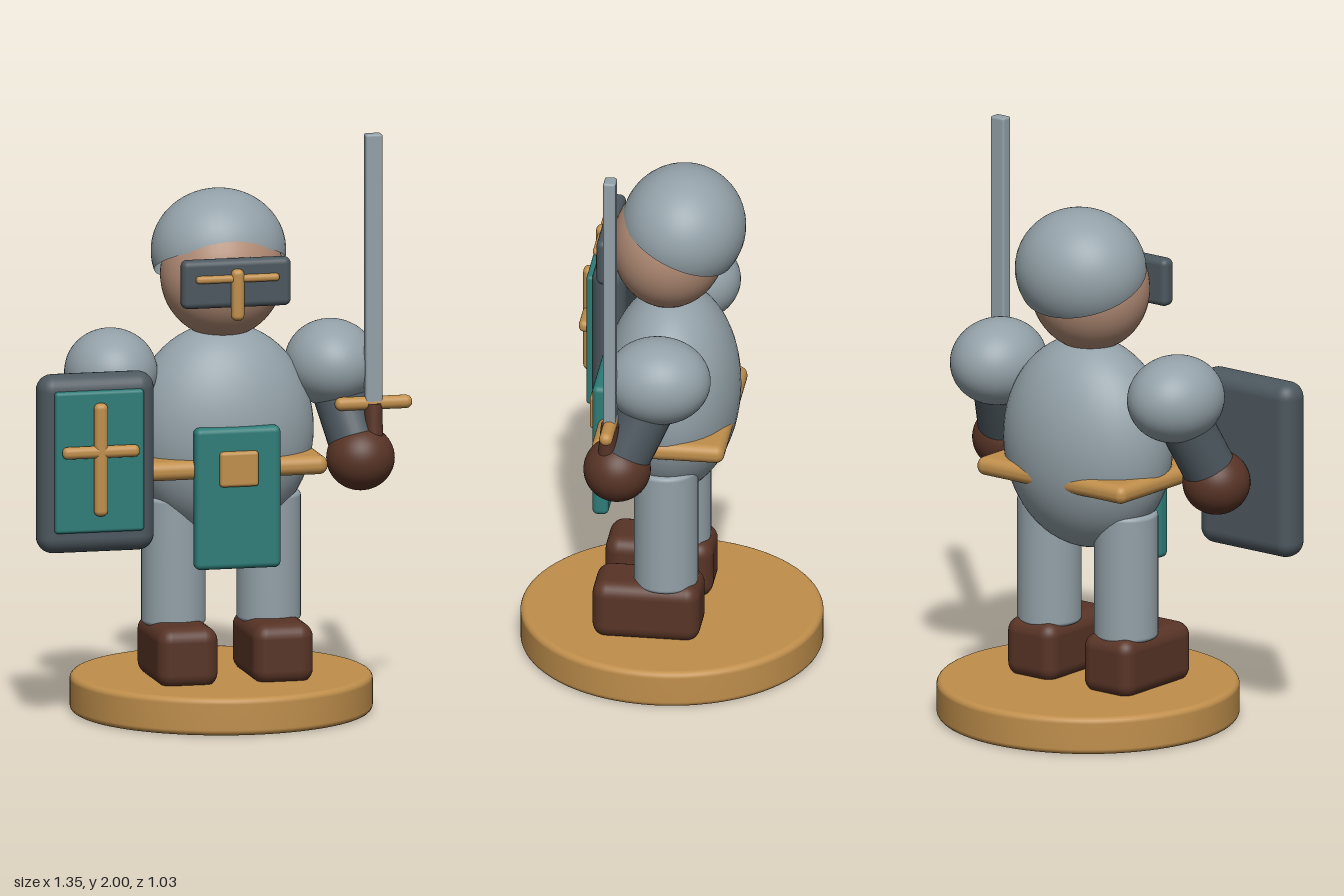
import * as THREE from 'three';
import { RoundedBoxGeometry } from 'three/addons/geometries/RoundedBoxGeometry.js';

const material = (name, color) => {
  const m = new THREE.MeshStandardMaterial({ color });
  m.name = name;
  return m;
};

export function createModel() {
  const steel = material('steel', 0x93a1a8);
  const slate = material('slate', 0x4c575e);
  const gold = material('gold', 0xc08f4c);
  const teal = material('teal', 0x2e7c78);
  const leather = material('brown leather', 0x583426);
  const skin = material('skin', 0xb08a74);
  const helmetSteel = material('helmet steel', 0x93a1a8);
  helmetSteel.side = THREE.DoubleSide; // open shell

  const model = new THREE.Group();
  model.name = 'toyKnight';
  const CX = 0.037; // body axis

  const add = (parent, name, geometry, mat, x, y, z) => {
    const mesh = new THREE.Mesh(geometry, mat);
    mesh.name = name;
    mesh.position.set(x, y, z);
    parent.add(mesh);
    return mesh;
  };
  const group = (name) => {
    const g = new THREE.Group();
    g.name = name;
    model.add(g);
    return g;
  };
  const box = (w, h, d, r) => new RoundedBoxGeometry(w, h, d, 4, r);
  const ellipsoid = (rx, ry, rz) => new THREE.SphereGeometry(1, 48, 32).scale(rx, ry, rz);

  // Cylinder standing on y = 0 with softened rims
  const softCylinder = (r, h, bevel, sides = 48) => {
    const points = [new THREE.Vector2(0, 0), new THREE.Vector2(r - bevel - 0.002, 0)];
    for (const [cy, start] of [[bevel, -Math.PI / 2], [h - bevel, 0]]) {
      for (let i = 0; i <= 5; i++) {
        const a = start + (i / 5) * Math.PI / 2;
        points.push(new THREE.Vector2(r - bevel + Math.cos(a) * bevel, cy + Math.sin(a) * bevel));
      }
    }
    points.push(new THREE.Vector2(r - bevel - 0.002, h), new THREE.Vector2(0, h));
    return new THREE.LatheGeometry(points, sides);
  };

  // Cylinder between two points
  const limb = (parent, name, from, to, r, mat) => {
    const dir = to.clone().sub(from);
    const mid = from.clone().add(to).multiplyScalar(0.5);
    const mesh = add(parent, name, new THREE.CylinderGeometry(r, r, dir.length(), 32), mat, mid.x, mid.y, mid.z);
    mesh.quaternion.setFromUnitVectors(new THREE.Vector3(0, 1, 0), dir.normalize());
    return mesh;
  };

  // Round stand
  add(model, 'base', softCylinder(0.517, 0.13, 0.02, 80), gold, CX, 0, 0);

  // Torso, belt and tabard
  add(model, 'torso', ellipsoid(0.32, 0.37, 0.235), steel, CX, 0.97, 0);
  add(model, 'belt', box(0.645, 0.065, 0.455, 0.03), gold, CX, 0.872, 0.008);
  add(model, 'tabard', box(0.3, 0.49, 0.056, 0.02), teal, CX, 0.775, 0.228);
  add(model, 'buckle', box(0.135, 0.122, 0.05, 0.012), gold, CX, 0.879, 0.25);

  // Legs and arms, mirrored about the body axis
  for (const side of [-1, 1]) {
    const prefix = side > 0 ? 'left' : 'right';
    const leg = group(prefix + 'Leg');
    add(leg, 'legTube', softCylinder(0.11, 0.445, 0.015), steel, CX + side * 0.167, 0.307, -0.002);
    add(leg, 'boot', box(0.212, 0.21, 0.37, 0.05), leather, CX + side * 0.167, 0.222, 0.058);

    const arm = group(prefix + 'Arm');
    const shoulder = new THREE.Vector3(CX + side * 0.39, 1.16, -0.005);
    const hand = new THREE.Vector3(CX + side * 0.458, 0.876, 0.127);
    add(arm, 'shoulder', ellipsoid(0.158, 0.15, 0.18), steel, CX + side * 0.386, 1.186, -0.004);
    limb(arm, 'forearm', shoulder, hand, 0.092, slate);
    add(arm, 'hand', ellipsoid(0.117, 0.112, 0.115), leather, hand.x, hand.y, hand.z);
  }

  // Head with a tilted helmet shell
  const head = group('head');
  add(head, 'face', ellipsoid(0.212, 0.22, 0.195), skin, CX, 1.513, 0.01);
  const shell = new THREE.SphereGeometry(1, 48, 32, 0, Math.PI * 2, 0, 1.8).scale(0.232, 0.213, 0.213);
  add(head, 'helmet', shell, helmetSteel, CX, 1.585, -0.04).rotation.x = -0.436;

  // Visor with gold trim
  add(head, 'visor', box(0.382, 0.168, 0.055, 0.022), slate, CX, 1.516, 0.209);
  add(head, 'visorBar', box(0.292, 0.026, 0.03, 0.012), gold, CX, 1.535, 0.239);
  add(head, 'noseGuard', box(0.044, 0.178, 0.045, 0.018), gold, CX, 1.479, 0.238);

  // Shield on the right arm
  const shield = group('shield');
  add(shield, 'shieldBoard', box(0.408, 0.618, 0.118, 0.055), slate, -0.47, 0.926, 0.263);
  add(shield, 'shieldPanel', box(0.312, 0.49, 0.04, 0.012), teal, -0.47, 0.939, 0.323);
  add(shield, 'crossUpright', box(0.048, 0.392, 0.04, 0.0195), gold, -0.47, 0.949, 0.353);
  add(shield, 'crossArm', box(0.27, 0.042, 0.038, 0.0185), gold, -0.47, 0.976, 0.354);

  // Sword in the left hand
  const sword = group('sword');
  add(sword, 'blade', box(0.059, 0.94, 0.042, 0.008), steel, 0.535, 1.53, 0.146);
  add(sword, 'guard', box(0.27, 0.046, 0.046, 0.022), gold, 0.536, 1.067, 0.145);
  limb(sword, 'grip', new THREE.Vector3(0.535, 0.86, 0.165), new THREE.Vector3(0.535, 1.065, 0.146), 0.031, leather);

  return model;
}
